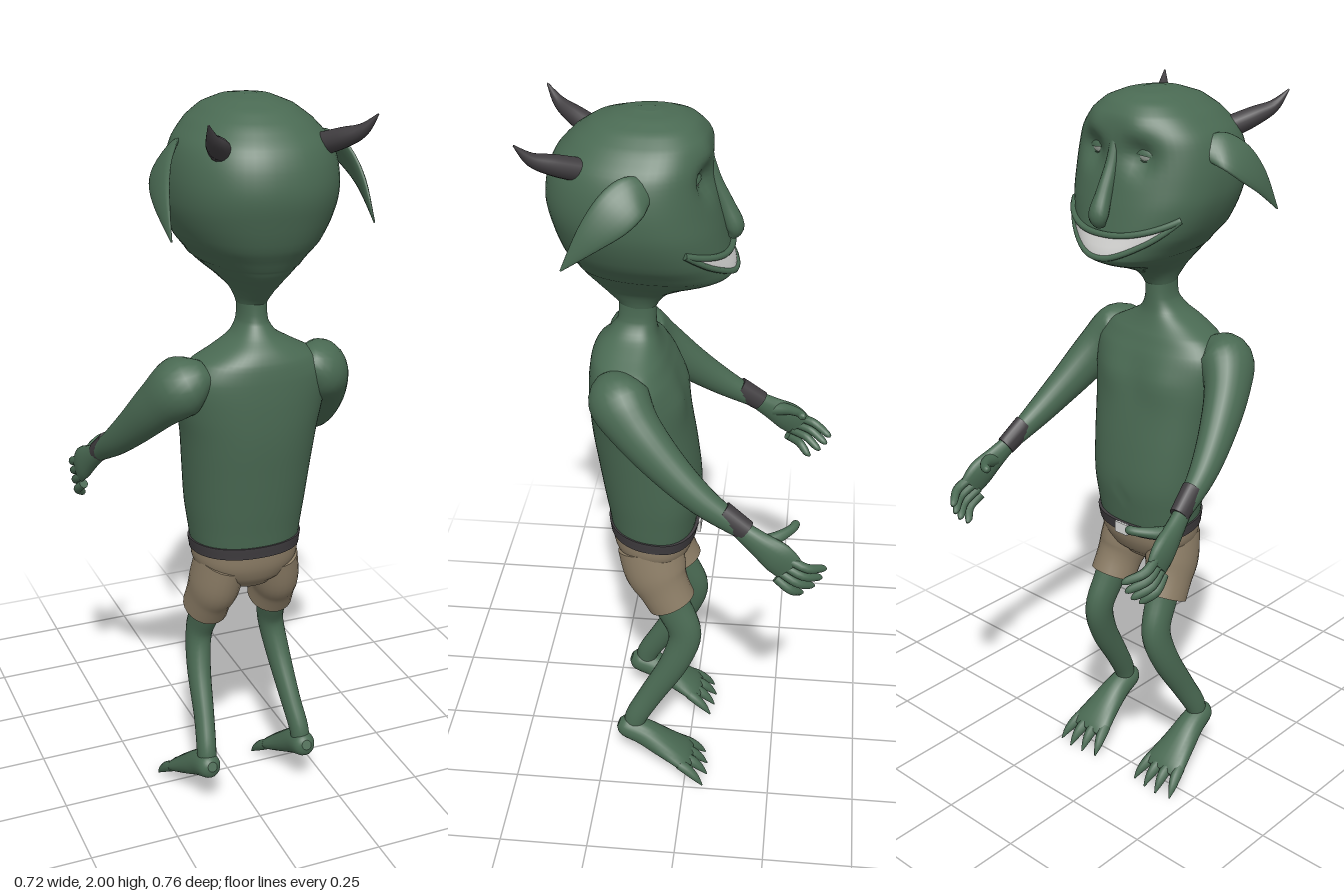
import * as THREE from 'three';

const V = (x, y, z) => new THREE.Vector3(x, y, z);
const paint = (name, color, side = THREE.FrontSide) => {
  const m = new THREE.MeshStandardMaterial({ color, side });
  m.name = name;
  return m;
};

// Skin a list of equal-length rings, each counter-clockwise about the sweep direction
function skin(rings, closed = true) {
  const n = rings[0].length, pos = [], idx = [];
  rings.forEach(r => r.forEach(p => pos.push(p.x, p.y, p.z)));
  for (let i = 0; i < rings.length - 1; i++) {
    for (let j = 0; j < (closed ? n : n - 1); j++) {
      const k = (j + 1) % n, a = i * n + j, b = i * n + k;
      idx.push(a, b, a + n, b, b + n, a + n);
    }
  }
  if (closed) [rings[0], rings[rings.length - 1]].forEach((ring, end) => {
    const s = pos.length / 3, c = V(0, 0, 0);
    ring.forEach(p => { pos.push(p.x, p.y, p.z); c.addScaledVector(p, 1 / n); });
    pos.push(c.x, c.y, c.z);
    for (let j = 0; j < n; j++) {
      const k = (j + 1) % n;
      if (end) idx.push(s + n, s + j, s + k); else idx.push(s + n, s + k, s + j);
    }
  });
  const g = new THREE.BufferGeometry();
  g.setAttribute('position', new THREE.Float32BufferAttribute(pos, 3));
  g.setIndex(idx);
  g.computeVertexNormals();
  return g;
}

// Smooth interpolation between rows of numbers
function blend(rows, i, f) {
  const row = k => rows[Math.min(Math.max(k, 0), rows.length - 1)];
  return row(i).map((b, c) => {
    const a = row(i - 1)[c], d = row(i + 1)[c], e = row(i + 2)[c];
    return b + 0.5 * f * (d - a + f * (2 * a - 5 * b + 4 * d - e + f * (3 * (b - d) + e - a)));
  });
}

// Limb swept through rows [x, y, z, radius along hint, radius across]
function loft(rows, hint = V(1, 0, 0), sides = 16, steps = 5) {
  const s = [];
  for (let i = 0; i < rows.length - 1; i++)
    for (let k = 0; k < steps; k++) s.push(blend(rows, i, k / steps));
  s.push(rows[rows.length - 1]);
  const at = i => V(...s[Math.min(Math.max(i, 0), s.length - 1)].slice(0, 3));
  return skin(s.map((r, i) => {
    const t = at(i + 1).sub(at(i - 1)).normalize();
    const a = hint.clone().addScaledVector(t, -hint.dot(t)).normalize(), b = t.clone().cross(a);
    return Array.from({ length: sides }, (_, j) => {
      const q = j / sides * Math.PI * 2;
      return at(i).addScaledVector(a, r[3] * Math.cos(q)).addScaledVector(b, (r[4] ?? r[3]) * Math.sin(q));
    });
  }));
}

// Body surface from rows [y, back z, front z, half width]; bumps [x, y, radius, push] shape the front
function surface(rows, bumps = [], square = 0.9) {
  const point = (q, y, out = 0) => {
    let i = 0;
    while (i < rows.length - 2 && y > rows[i + 1][0]) i++;
    const [, zb, zf, w] = blend(rows, i, (y - rows[i][0]) / (rows[i + 1][0] - rows[i][0]));
    const soft = v => Math.sign(v) * Math.abs(v) ** square;
    const zc = zb * 0.42 + zf * 0.58, c = soft(Math.cos(q)), s = soft(Math.sin(q));
    const p = V((w + out) * c, y, zc - s * ((s > 0 ? zc - zf : zb - zc) + out));
    if (s > 0) for (const [bx, by, r, push] of bumps)
      p.z -= push * Math.exp(-((Math.abs(p.x) - bx) ** 2 + (y - by) ** 2) / (r * r));
    return p;
  };
  const ys = rows.flatMap((r, i) => i < rows.length - 1
    ? [0, 1, 2, 3].map(k => r[0] + (rows[i + 1][0] - r[0]) * k / 4) : [r[0]]);
  const geometry = skin(ys.map(y => Array.from({ length: 56 }, (_, j) => point(j / 56 * Math.PI * 2, y))));
  return { point, geometry };
}

export function createModel() {
  const green = paint('greenSkin', 0x4a6a53), dark = paint('darkLeather', 0x403d40);
  const cloth = paint('tanCloth', 0x8c7d66), white = paint('toothWhite', 0xdcdcda, THREE.DoubleSide);
  const eyeGrey = paint('eyeGrey', 0x98a197);
  const model = new THREE.Group(), body = new THREE.Group();
  model.name = 'hornedCreature';
  body.name = 'body';
  body.position.x = 0.012;
  model.add(body);
  const add = (parent, name, geometry, material) => {
    const m = new THREE.Mesh(geometry, material);
    m.name = name;
    parent.add(m);
    return m;
  };
  // Builds a left and a mirrored right group
  const pair = (name, x, build) => [1, -1].forEach(s => {
    const g = new THREE.Group();
    g.name = (s > 0 ? 'left' : 'right') + name;
    g.position.x = x;
    g.scale.x = s;
    build(g);
    model.add(g);
  });

  // Head with eye sockets
  const head = surface([
    [1.49, 0.18, 0.085, 0.036], [1.53, 0.215, 0.05, 0.052], [1.56, 0.243, -0.02, 0.08],
    [1.585, 0.265, -0.09, 0.108], [1.605, 0.28, -0.11, 0.13], [1.66, 0.315, -0.1, 0.175],
    [1.73, 0.338, -0.085, 0.204], [1.79, 0.35, -0.07, 0.211], [1.85, 0.343, -0.06, 0.205],
    [1.9, 0.322, -0.055, 0.188], [1.945, 0.28, -0.045, 0.15], [1.975, 0.235, -0.02, 0.11],
    [1.993, 0.18, 0.02, 0.065], [2.0, 0.13, 0.07, 0.02]
  ], [[0.075, 1.855, 0.04, -0.03], [0.07, 1.915, 0.035, 0.008]]);
  add(body, 'head', head.geometry, green);
  add(body, 'nose', loft([[0, 1.9, -0.04, 0.012, 0.012], [0, 1.83, -0.057, 0.016, 0.018],
    [0, 1.765, -0.085, 0.02, 0.022], [0, 1.712, -0.107, 0.026, 0.024], [0, 1.685, -0.1, 0.014, 0.012]]), green);

  // Wide grin laid over the face
  const across = Array.from({ length: 25 }, (_, i) => 1 - i / 12);
  const angle = u => Math.PI / 2 - u * 1.08;
  const upper = u => 1.665 + 0.045 * u * u, lower = u => 1.606 + 0.102 * u * u;
  add(body, 'teeth', skin([0, 0.25, 0.5, 0.75, 1].map(f => across.map(u =>
    head.point(angle(u), lower(u) + (upper(u) - lower(u)) * f, 0.004))), false), white);
  [['upperLip', upper], ['lowerLip', lower]].forEach(([name, edge]) =>
    add(body, name, loft(across.map(u => [...head.point(angle(u), edge(u), 0.002).toArray(),
      0.008, 0.01]), V(0, 1, 0), 8, 2), green));

  pair('Face', 0.012, g => {
    // Eye with heavy lids
    const eye = new THREE.Group();
    eye.name = 'eye';
    eye.position.set(0.077, 1.855, 0.007);
    eye.rotation.set(0.05, -0.3, -0.1);
    eye.scale.set(1.3, 0.9, 1);
    g.add(eye);
    add(eye, 'eyeball', new THREE.SphereGeometry(0.034, 20, 14), eyeGrey);
    add(eye, 'upperLid', new THREE.SphereGeometry(0.038, 20, 10, 0, Math.PI * 2, 0, Math.PI * 0.5), green);
    add(eye, 'lowerLid', new THREE.SphereGeometry(0.037, 20, 8, 0, Math.PI * 2, Math.PI * 0.62, Math.PI * 0.38), green);

    // Drooping leaf-shaped ear
    add(g, 'ear', loft([[0.18, 1.875, 0.085, 0.012, 0.03], [0.215, 1.868, 0.115, 0.012, 0.05],
      [0.245, 1.835, 0.155, 0.011, 0.052], [0.26, 1.78, 0.21, 0.009, 0.034],
      [0.262, 1.7, 0.277, 0.002, 0.002]], V(1, 0.3, 0.1)), green);

    // Curved horn
    add(g, 'horn', loft([[0.13, 1.895, 0.25, 0.028], [0.158, 1.915, 0.3, 0.025],
      [0.186, 1.938, 0.345, 0.016], [0.208, 1.978, 0.378, 0.002]]), dark);
  });

  // Torso and neck
  const torso = surface([
    [0.79, 0.213, -0.01, 0.142], [0.84, 0.22, -0.018, 0.15], [0.94, 0.235, -0.03, 0.163],
    [1.05, 0.25, -0.02, 0.173], [1.15, 0.262, -0.003, 0.183], [1.24, 0.265, 0.018, 0.198],
    [1.31, 0.262, 0.04, 0.2], [1.355, 0.255, 0.06, 0.165], [1.385, 0.24, 0.075, 0.11],
    [1.415, 0.212, 0.085, 0.06], [1.45, 0.187, 0.088, 0.038], [1.52, 0.183, 0.088, 0.036]
  ], [[0.08, 1.25, 0.06, 0.012], [0, 0.92, 0.012, -0.006]]);
  add(body, 'torso', torso.geometry, green);

  // Belt and buckle
  const belt = surface([[0.803, 0.222, -0.018, 0.15], [0.835, 0.226, -0.024, 0.154]]).geometry;
  const tilt = belt.attributes.position;
  for (let i = 0; i < tilt.count; i++) tilt.setY(i, tilt.getY(i) + (tilt.getZ(i) - 0.1) * 0.07);
  add(body, 'belt', belt, dark);
  add(body, 'buckle', new THREE.BoxGeometry(0.045, 0.032, 0.009), white).position.set(0, 0.81, -0.025);

  // Shorts
  add(body, 'shortsSeat', surface([[0.7, 0.165, 0.04, 0.07], [0.73, 0.195, 0.01, 0.115],
    [0.77, 0.212, -0.008, 0.143], [0.815, 0.217, -0.013, 0.147]]).geometry, cloth);
  pair('ShortsLeg', 0.013, g => add(g, 'shortsLeg', loft([[0.075, 0.775, 0.105, 0.066, 0.092],
    [0.087, 0.7, 0.09, 0.067, 0.088], [0.094, 0.65, 0.068, 0.062, 0.075],
    [0.097, 0.602, 0.045, 0.063, 0.07]], V(1, 0, 0), 24), cloth));

  pair('Arm', 0, g => {
    add(g, 'arm', loft([[0.13, 1.325, 0.17, 0.04, 0.05], [0.185, 1.305, 0.165, 0.072, 0.08],
      [0.232, 1.245, 0.115, 0.058, 0.067], [0.27, 1.16, 0.03, 0.046, 0.052],
      [0.298, 1.085, -0.06, 0.035, 0.039], [0.316, 1.02, -0.16, 0.021, 0.026]], V(1, 0, 0), 24), green);
    add(g, 'wristband', loft([[0.306, 1.062, -0.105, 0.027, 0.034], [0.316, 1.016, -0.17, 0.024, 0.03]]), dark);

    // Hand with four fingers and a thumb
    add(g, 'palm', loft([[0.315, 1.025, -0.15, 0.02, 0.025], [0.326, 0.99, -0.2, 0.021, 0.034],
      [0.336, 0.955, -0.25, 0.02, 0.046], [0.341, 0.925, -0.282, 0.013, 0.042]]), green);
    const tips = [[0.312, 0.907, -0.378], [0.315, 0.88, -0.368], [0.318, 0.855, -0.35], [0.32, 0.832, -0.322]];
    tips.forEach(([x, y, z], i) => {
      const by = 0.955 - i * 0.022, bz = -0.275 + i * 0.008;
      add(g, 'finger', loft([[0.337, by, bz, 0.013], [0.345, (by + y) / 2, (bz + z) / 2, 0.0125],
        [x + 0.006, y + 0.006, z + 0.012, 0.01], [x, y, z, 0.003]], V(1, 0, 0), 10, 4), green);
    });
    add(g, 'thumb', loft([[0.328, 0.985, -0.205, 0.022], [0.308, 0.996, -0.25, 0.016],
      [0.28, 1.003, -0.283, 0.012], [0.258, 1.005, -0.294, 0.011], [0.251, 1.005, -0.295, 0.003]],
    V(0, 1, 0), 12, 4), green);
  });

  pair('Leg', 0.02, g => {
    add(g, 'leg', loft([[0.095, 0.68, 0.08, 0.045, 0.055], [0.1, 0.59, 0.04, 0.04, 0.052],
      [0.11, 0.5, 0.006, 0.036, 0.047], [0.122, 0.4, 0.035, 0.033, 0.042],
      [0.133, 0.28, 0.103, 0.028, 0.036], [0.143, 0.2, 0.147, 0.027, 0.033],
      [0.145, 0.15, 0.157, 0.025, 0.026]], V(1, 0, 0), 20), green);

    // Broad sloping foot with clawed toes
    add(g, 'foot', loft([[0.145, 0.17, 0.2, 0.014, 0.014], [0.146, 0.162, 0.18, 0.032, 0.034],
      [0.148, 0.14, 0.125, 0.04, 0.038], [0.15, 0.102, 0.065, 0.053, 0.033],
      [0.15, 0.066, 0.01, 0.066, 0.024], [0.15, 0.05, -0.014, 0.058, 0.014]], V(1, 0, 0), 20), green);
    [-0.055, -0.018, 0.018, 0.055].forEach((dx, i) => {
      const reach = [0.012, 0.003, 0, 0.01][i], x = 0.15 + dx;
      add(g, 'toe', loft([[x * 0.9 + 0.015, 0.068, 0.015, 0.016, 0.016], [x, 0.052, -0.02 + reach, 0.016, 0.016],
        [x + dx * 0.15, 0.03, -0.045 + reach, 0.011, 0.011], [x + dx * 0.25, 0.006, -0.065 + reach, 0.002, 0.002]],
      V(1, 0, 0), 10, 4), green);
    });
  });
  return model;
}
